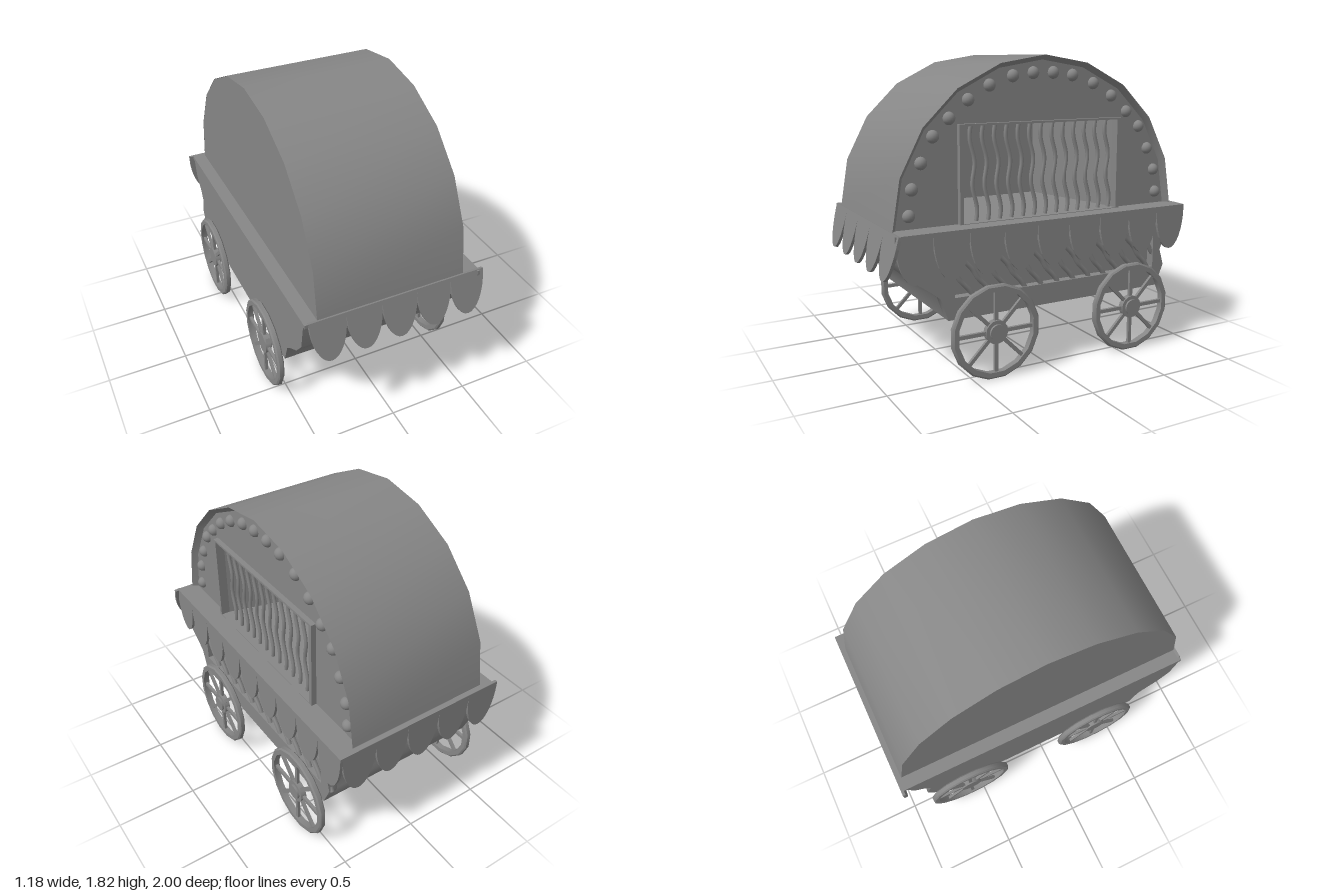
import * as THREE from 'three';
import { toCreasedNormals } from 'three/addons/utils/BufferGeometryUtils.js';

const material = new THREE.MeshStandardMaterial({ color: 0x868686 });
const thin = new THREE.MeshStandardMaterial({ color: 0x868686, side: THREE.DoubleSide });

function add(parent, name, geometry, mat = material) {
  const mesh = new THREE.Mesh(geometry, mat);
  mesh.name = name;
  parent.add(mesh);
  return mesh;
}

// Extrudes a [z, y] outline across the wagon, from x0 to x1
function across(points, x0, x1, hole) {
  const toPath = (list) => list.map(([z, y]) => new THREE.Vector2(-z, y));
  const shape = new THREE.Shape(toPath(points));
  if (hole) shape.holes.push(new THREE.Path(toPath(hole)));
  const g = new THREE.ExtrudeGeometry(shape, { depth: x1 - x0, bevelEnabled: false });
  g.rotateY(Math.PI / 2).translate(x0, 0, 0);
  return toCreasedNormals(g, 0.9);
}

// Skin between [z, y] outlines, each set at its own x
function skin(rings, crease) {
  const pos = [];
  for (let r = 0; r + 1 < rings.length; r++) {
    const a = rings[r], b = rings[r + 1];
    for (let i = 0; i + 1 < a.points.length; i++) {
      const p = (ring, k) => [ring.x, ring.points[k][1], ring.points[k][0]];
      pos.push(...p(a, i), ...p(b, i), ...p(b, i + 1), ...p(a, i), ...p(b, i + 1), ...p(a, i + 1));
    }
  }
  const g = new THREE.BufferGeometry();
  g.setAttribute('position', new THREE.Float32BufferAttribute(pos, 3));
  g.computeVertexNormals();
  return toCreasedNormals(g, crease);
}

const rect = (z0, z1, y0, y1) => [[z0, y0], [z1, y0], [z1, y1], [z0, y1]];

// Cloth strip with rounded scallops, hanging from y = 0 and centred on x
function valanceGeometry(width, count, drop) {
  const step = width / count, band = 0.02;
  const shape = new THREE.Shape();
  shape.moveTo(-width / 2, 0);
  shape.lineTo(-width / 2, -band);
  for (let i = 0; i < count; i++) {
    const cx = -width / 2 + (i + 0.5) * step;
    for (let k = 1; k <= 16; k++) {
      const t = Math.PI * (1 - k / 16);
      shape.lineTo(cx + Math.cos(t) * step / 2, -band - Math.sin(t) * (drop - band));
    }
  }
  shape.lineTo(width / 2, 0);
  return new THREE.ExtrudeGeometry(shape, { depth: 0.018, bevelEnabled: false });
}

function wheel() {
  const g = new THREE.Group();
  g.name = 'wheel';
  // Rim with a chamfered outer edge
  const profile = [[0.242, -0.02], [0.27, -0.02], [0.28, -0.012], [0.28, 0.012], [0.27, 0.02], [0.242, 0.02], [0.242, -0.02]];
  const rim = new THREE.LatheGeometry(profile.map(([r, y]) => new THREE.Vector2(r, y)), 16, Math.PI / 16);
  add(g, 'rim', toCreasedNormals(rim.toNonIndexed(), 0.6).rotateZ(-Math.PI / 2));
  for (let i = 0; i < 4; i++) {
    add(g, 'spokePair', new THREE.BoxGeometry(0.018, 0.5, 0.022)).rotation.x = i * Math.PI / 4;
  }
  add(g, 'hub', new THREE.CylinderGeometry(0.07, 0.07, 0.036, 16).rotateZ(Math.PI / 2));
  const cap = add(g, 'hubCap', new THREE.CylinderGeometry(0.048, 0.048, 0.03, 16).rotateZ(Math.PI / 2));
  cap.position.x = 0.016;
  return g;
}

// Wavy upright bar from y1 down to y0, leaning by drift along z
function bar(parent, x, z, y0, y1, drift, wave, radius) {
  const points = [];
  for (let i = 0; i <= 16; i++) {
    const t = i / 16;
    points.push(new THREE.Vector3(x, y1 + (y0 - y1) * t, z + drift * t + wave * Math.sin(t * Math.PI * 4)));
  }
  add(parent, 'bar', new THREE.TubeGeometry(new THREE.CatmullRomCurve3(points), 24, radius, 6));
}

export function createModel() {
  const wagon = new THREE.Group();
  wagon.name = 'wagon';

  // Lower body: main block, plus an outer panel with a long opening
  const bodyProfile = [[0.64, 0.38], [0.685, 0.51], [0.74, 0.555], [0.82, 0.61], [0.89, 0.7], [0.92, 0.88],
    [-0.96, 0.88], [-0.93, 0.76], [-0.86, 0.67], [-0.835, 0.61], [-0.865, 0.51], [-0.81, 0.38]];
  add(wagon, 'body', across(bodyProfile, -0.55, 0.47));
  add(wagon, 'sidePanel', across(bodyProfile, 0.47, 0.525, rect(0.6, -0.78, 0.505, 0.85)));
  for (let i = 0; i < 13; i++) bar(wagon, 0.505, 0.67 - i * 0.112, 0.5, 0.74, -0.19, 0.004, 0.015);
  add(wagon, 'deck', across(rect(0.935, -0.985, 0.87, 0.892), -0.55, 0.55));

  // Arched roof with a bevelled lip round the open side
  const mid = -0.02;
  const half = [[0.945, 0.89], [0.897, 1.18], [0.76, 1.444], [0.553, 1.647], [0.288, 1.78]];
  const arch = (s) => [...half.map(([z, y]) => [mid + z * s, 0.89 + (y - 0.89) * s]), [mid, 0.89 + 0.937 * s],
    ...[...half].reverse().map(([z, y]) => [mid - z * s, 0.89 + (y - 0.89) * s])];
  add(wagon, 'roof', skin([{ x: -0.47, points: arch(1) }, { x: 0.447, points: arch(1) }], 0.65), thin);
  add(wagon, 'roofLip', skin([{ x: 0.447, points: arch(1) }, { x: 0.41, points: arch(0.97) }], 0.65), thin);
  add(wagon, 'plainWall', across(arch(0.998), -0.47, -0.45));

  // Show wall with its window and the tapering room behind it
  const opening = rect(0.5, -0.54, 0.895, 1.44);
  add(wagon, 'showWall', across(arch(0.98), 0.385, 0.41, opening));
  const backWall = rect(0.32, -0.38, 0.895, 1.375);
  const room = [{ x: 0.385, points: [...opening, opening[0]] }, { x: -0.3, points: [...backWall, backWall[0]] }];
  add(wagon, 'room', skin(room, 0.2), thin);
  add(wagon, 'roomBack', across(backWall, -0.32, -0.3));
  add(wagon, 'windowFrame', across(rect(0.522, -0.565, 0.89, 1.452), 0.4, 0.442, opening));
  for (let i = 0; i < 13; i++) bar(wagon, 0.39, 0.43 - i * 0.0765, 0.895, 1.44, -0.03, 0.011, 0.012);

  // Round bulbs following the arch
  const bulbs = [[0.067, 1.725], [0.2, 1.709], [0.348, 1.66], [0.481, 1.583], [0.597, 1.485],
    [0.695, 1.39], [0.767, 1.249], [0.823, 1.11], [0.843, 0.966]];
  for (const [z, y] of bulbs) {
    for (const side of [1, -1]) {
      add(wagon, 'bulb', new THREE.SphereGeometry(0.037, 16, 10)).position.set(0.408, y, -0.026 + side * z);
    }
  }

  // Scalloped valances on the front, the back and the show side
  const front = add(wagon, 'frontValance', valanceGeometry(1.1, 5, 0.263));
  front.position.set(0.024, 0.892, 0.92);
  front.rotation.x = -0.24;
  const back = add(wagon, 'backValance', valanceGeometry(1.11, 5, 0.283));
  back.position.set(-0.022, 0.892, -0.98);
  back.rotation.y = Math.PI;
  const side = add(wagon, 'sideValance', valanceGeometry(1.945, 9, 0.275));
  side.position.set(0.532, 0.892, -0.025);
  side.rotation.y = Math.PI / 2;

  // Four spoked wheels
  for (const x of [0.56, -0.572]) {
    for (const z of [0.364, -0.582]) {
      const w = wheel();
      w.position.set(x, 0.283, z);
      wagon.add(w);
    }
  }
  return wagon;
}
